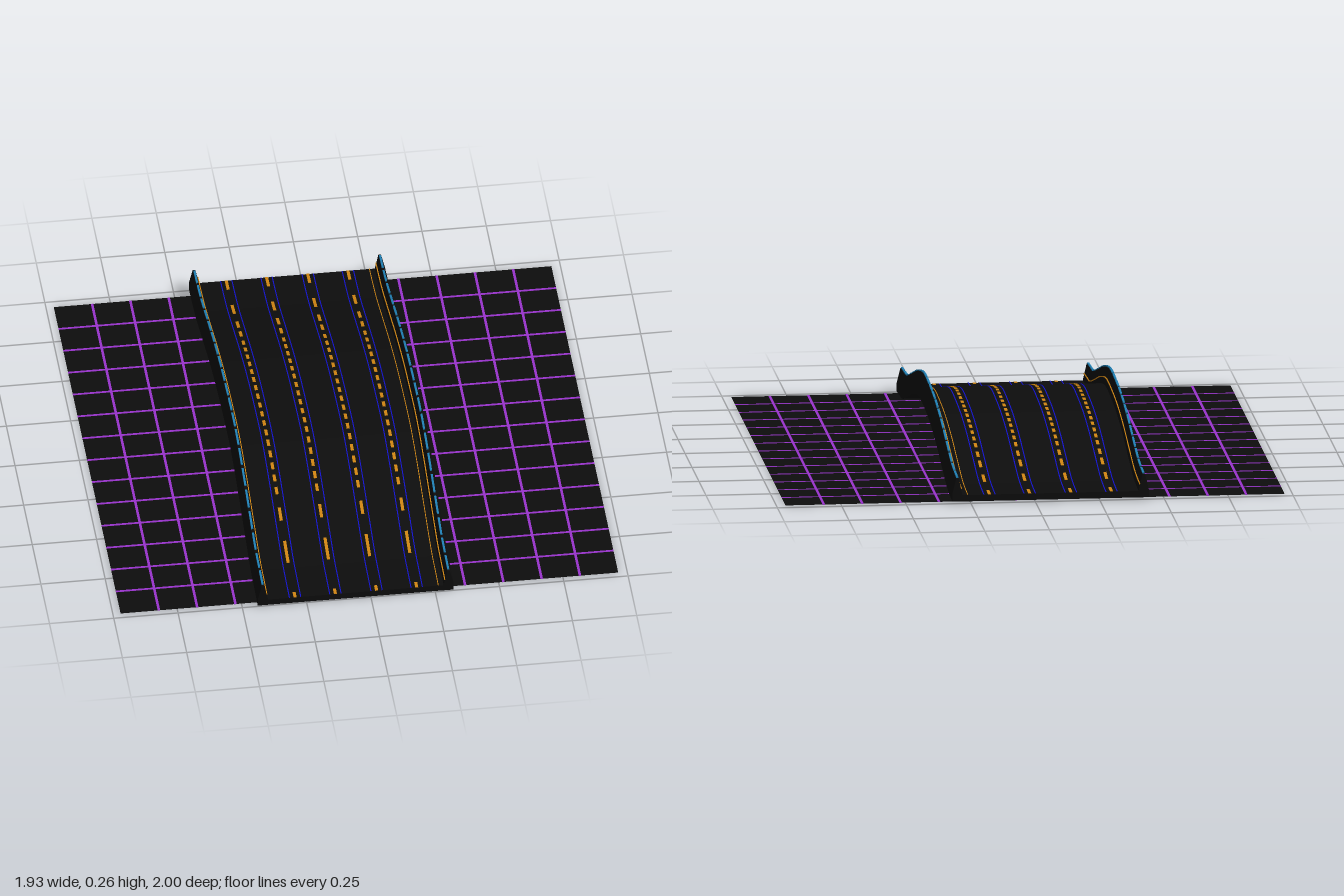
import * as THREE from 'three';

const material = (color) => new THREE.MeshStandardMaterial({ color, side: THREE.DoubleSide });
const black = material(0x0d0d0d);
const purple = material(0x9933cc);
const orange = material(0xd08512);
const blue = material(0x1010cc);
const teal = material(0x1f80b5);

// Height of the road's underside along z
const rise = new THREE.CatmullRomCurve3([
  [-1, 0.008], [-0.9, 0.013], [-0.8, 0.024], [-0.6, 0.068], [-0.4, 0.112], [-0.2, 0.143], [0, 0.158],
  [0.2, 0.16], [0.4, 0.125], [0.6, 0.07], [0.8, 0.018], [0.9, 0.01], [1, 0.004],
].map(([z, y]) => new THREE.Vector3(0, y, z)));
const samples = rise.getPoints(480);
function heightAt(z) {
  let i = 1;
  while (i < samples.length - 1 && samples[i].z < z) i++;
  const a = samples[i - 1], b = samples[i];
  return THREE.MathUtils.mapLinear(z, a.z, b.z, a.y, b.y);
}

// Sweeps a counterclockwise closed profile [x, y] along the hill, with end caps
function sweep(profile, spans) {
  const pos = [], idx = [], n = profile.length;
  const caps = THREE.ShapeUtils.triangulateShape(profile.map(([x, y]) => new THREE.Vector2(x, y)), []);
  for (const [z0, z1] of spans) {
    const start = pos.length / 3;
    const steps = Math.max(1, Math.round((z1 - z0) / 0.025));
    for (let s = 0; s <= steps; s++) {
      const z = z0 + (z1 - z0) * s / steps, h = heightAt(z);
      for (const [x, y] of profile) pos.push(x, y + h, z);
    }
    for (let s = 0; s < steps; s++) {
      for (let i = 0; i < n; i++) {
        const a = start + s * n + i, b = start + s * n + (i + 1) % n;
        idx.push(a, b, b + n, a, b + n, a + n);
      }
    }
    const end = start + steps * n;
    for (const [a, b, c] of caps) idx.push(start + a, start + c, start + b, end + a, end + b, end + c);
  }
  const g = new THREE.BufferGeometry();
  g.setAttribute('position', new THREE.Float32BufferAttribute(pos, 3));
  g.setIndex(idx);
  const flat = g.toNonIndexed();
  flat.computeVertexNormals();
  return flat;
}

const strip = (x, y, w, h) => [[x - w / 2, y], [x + w / 2, y], [x + w / 2, y + h], [x - w / 2, y + h]];

export function createModel() {
  const group = new THREE.Group();
  const add = (name, geometry, mat) => {
    const mesh = new THREE.Mesh(geometry, mat);
    mesh.name = name;
    group.add(mesh);
    return mesh;
  };

  // Flat ground with a grid of lines
  const x0 = -0.97, x1 = 0.965, z0 = -0.965, z1 = 0.975;
  const cx = (x0 + x1) / 2, cz = (z0 + z1) / 2;
  const ground = add('ground', new THREE.PlaneGeometry(x1 - x0, z1 - z0).rotateX(-Math.PI / 2), black);
  ground.position.set(cx, 0.001, cz);
  for (let i = 1; i < 13; i++) {
    const line = add('gridLineLengthwise', new THREE.BoxGeometry(0.01, 0.002, z1 - z0), purple);
    line.position.set(x0 + (x1 - x0) * i / 13, 0.001, cz);
  }
  for (let i = 1; i < 14; i++) {
    const line = add('gridLineCrosswise', new THREE.BoxGeometry(x1 - x0, 0.002, 0.01), purple);
    line.position.set(cx, 0.001, z0 + (z1 - z0) * i / 14);
  }

  // Road deck with a tapered barrier on both edges
  const full = [[-1, 1]], deck = 0.025;
  add('road', sweep([
    [-0.44, 0], [0.322, 0], [0.322, 0.03], [0.307, 0.091], [0.297, 0.091], [0.283, deck],
    [-0.4, deck], [-0.415, 0.091], [-0.425, 0.091], [-0.44, 0.03],
  ], full), black);

  // Lane dashes, longer toward both ends, each lane flanked by thin lines
  const dashes = [[-1, -0.94], [-0.83, -0.76], [-0.69, -0.635], [-0.6, -0.555], [0.54, 0.6], [0.695, 0.8], [0.97, 1]];
  for (let z = -0.515; z < 0.5; z += 0.06) dashes.push([z, z + 0.033]);
  for (const x of [-0.295, -0.138, 0.022, 0.178]) {
    add('laneDashes', sweep(strip(x, deck, 0.012, 0.002), dashes), orange);
    for (const side of [-1, 1]) {
      add('laneLine', sweep(strip(x + side * 0.022, deck, 0.004, 0.0015), full), blue);
    }
  }

  // Thin lines beside and on the inner faces of the barriers
  add('edgeLine', sweep(strip(0.262, deck, 0.003, 0.0015), full), orange);
  add('barrierLineLeft', sweep(strip(0.287, 0.05, 0.004, 0.004), full), orange);
  add('barrierLineRight', sweep(strip(-0.405, 0.05, 0.004, 0.004), full), orange);

  // Dashed light strips on the barrier tops
  const lights = [];
  for (let i = 0; i < 20; i++) lights.push([-0.99 + i * 0.1, -0.99 + i * 0.1 + 0.08]);
  for (const x of [-0.42, 0.302]) add('barrierLights', sweep(strip(x, 0.089, 0.008, 0.007), lights), teal);

  return group;
}
